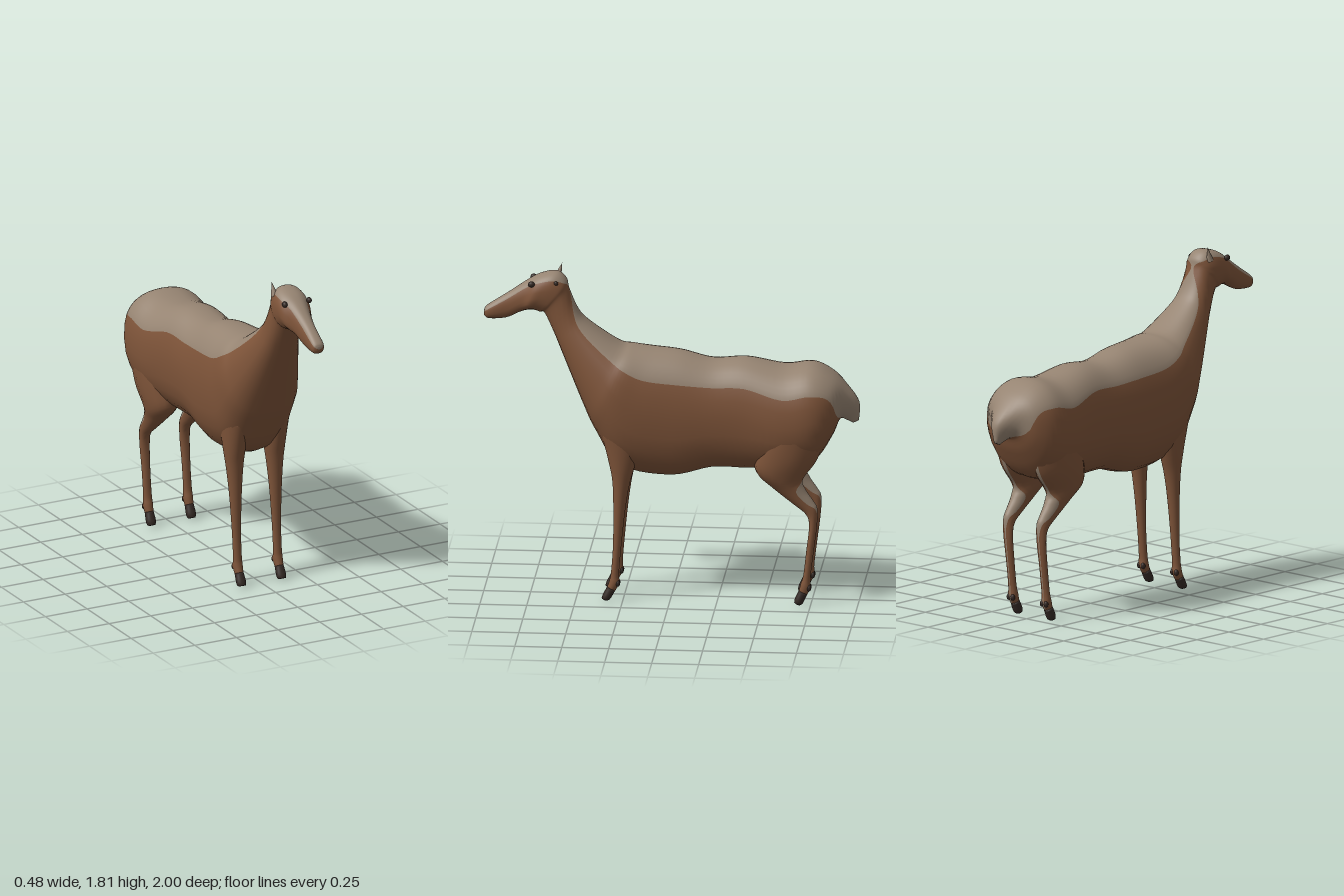
import * as THREE from 'three';

const mat = (name, color) => {
  const m = new THREE.MeshStandardMaterial({ color });
  m.name = name;
  return m;
};

// Smooth curve through points, with one control point per section
const curve = (pts) => new THREE.CatmullRomCurve3(pts, false, 'catmullrom', 0.5);

// Loft through sections [zTop, yTop, zBottom, yBottom, halfWidth, paintAngle].
// Rows between the top line and paintAngle take the first material, the rest the second.
function loft(name, sections, x0, materials, power = 1, steps = 5, half = 7) {
  const tops = curve(sections.map((s) => new THREE.Vector3(0, s[1], s[0])));
  const bottoms = curve(sections.map((s) => new THREE.Vector3(0, s[3], s[2])));
  const sizes = curve(sections.map((s) => new THREE.Vector3(s[4], s[5] ?? 1.5, 0)));
  const rings = (sections.length - 1) * steps;
  const n = half * 4;
  const pos = [];
  const groups = [[], []];
  const bend = (v) => Math.sign(v) * Math.abs(v) ** power;
  for (let i = 0; i <= rings; i++) {
    const u = i / rings;
    const t = tops.getPoint(u), b = bottoms.getPoint(u), s = sizes.getPoint(u);
    const c = t.clone().add(b).multiplyScalar(0.5);
    const arm = t.sub(c);
    const p = THREE.MathUtils.clamp(s.y, 0.06, Math.PI - 0.12);
    for (let j = 0; j < n; j++) {
      const k = j <= n / 2 ? j : n - j;
      let a = k <= half ? (p * k) / half : p + ((Math.PI - p) * (k - half)) / half;
      if (j > n / 2) a = -a;
      const q = bend(Math.cos(a));
      pos.push(x0 + Math.max(s.x, 0.003) * bend(Math.sin(a)), c.y + arm.y * q, c.z + arm.z * q);
    }
  }
  const groupOf = (j) => (j < half || j >= n - half ? 0 : 1);
  for (let i = 0; i < rings; i++) {
    for (let j = 0; j < n; j++) {
      const a = i * n + j, b = i * n + ((j + 1) % n);
      groups[groupOf(j)].push(a, a + n, b, b, a + n, b + n);
    }
  }
  // Close both ends with fans
  for (const i of [0, rings]) {
    const mid = pos.length / 3;
    const o = i * n * 3, h = o + (n / 2) * 3;
    pos.push(x0, (pos[o + 1] + pos[h + 1]) / 2, (pos[o + 2] + pos[h + 2]) / 2);
    for (let j = 0; j < n; j++) {
      const a = i * n + j, b = i * n + ((j + 1) % n);
      groups[groupOf(j)].push(...(i === 0 ? [mid, a, b] : [mid, b, a]));
    }
  }
  const geo = new THREE.BufferGeometry();
  geo.setAttribute('position', new THREE.Float32BufferAttribute(pos, 3));
  geo.setIndex([...groups[0], ...groups[1]]);
  geo.addGroup(0, groups[0].length, 0);
  geo.addGroup(groups[0].length, groups[1].length, 1);
  geo.computeVertexNormals();
  const mesh = new THREE.Mesh(geo, materials);
  mesh.name = name;
  return mesh;
}

function ball(name, material, x, y, z, sx, sy, sz) {
  const mesh = new THREE.Mesh(new THREE.SphereGeometry(1, 14, 10), material);
  mesh.name = name;
  mesh.position.set(x, y, z);
  mesh.scale.set(sx, sy, sz);
  return mesh;
}

export function createModel() {
  const model = new THREE.Group();
  model.name = 'hoofedAnimal';
  const coat = mat('brown coat', 0x7e5439);
  const back = mat('greyish tan back', 0x968472);
  const dark = mat('dark hoof', 0x352a25);

  // Tail, trunk, neck and head in one skin
  model.add(loft('body', [
    [-0.998, 1.0, -0.965, 0.985, 0.012, 3],
    [-1.0, 1.1, -0.935, 1.0, 0.04, 2.9],
    [-0.935, 1.19, -0.9, 1.01, 0.1, 2.4],
    [-0.86, 1.26, -0.86, 0.92, 0.185, 1.3],
    [-0.75, 1.31, -0.77, 0.79, 0.235, 1.1],
    [-0.6, 1.295, -0.61, 0.74, 0.233, 1.1],
    [-0.4, 1.33, -0.4, 0.73, 0.204, 1],
    [-0.22, 1.32, -0.22, 0.73, 0.2, 0.97],
    [-0.05, 1.36, 0, 0.68, 0.21, 1],
    [0.1, 1.375, 0.27, 0.73, 0.223, 1],
    [0.2, 1.385, 0.4, 0.92, 0.22, 1],
    [0.28, 1.4, 0.47, 1.07, 0.19, 0.95],
    [0.44, 1.51, 0.58, 1.34, 0.122, 1],
    [0.5, 1.58, 0.625, 1.45, 0.097, 0.75],
    [0.545, 1.69, 0.675, 1.555, 0.085, 0.06],
    [0.56, 1.745, 0.7, 1.562, 0.09, 0.6],
    [0.61, 1.783, 0.735, 1.572, 0.092, 0.9],
    [0.69, 1.77, 0.77, 1.57, 0.087, 0.95],
    [0.76, 1.735, 0.81, 1.555, 0.062, 0.95],
    [0.87, 1.66, 0.88, 1.522, 0.043, 1],
    [0.98, 1.587, 0.97, 1.515, 0.036, 1.1],
    [0.999, 1.56, 0.996, 1.53, 0.016, 1.2],
  ], 0, [back, coat], 0.86, 5, 8));

  for (const [side, s] of [['left', 1], ['right', -1]]) {
    const x = s * 0.12;

    // Front leg, from shoulder to pastern
    model.add(loft(side + 'FrontLeg', [
      [0.37, 0.95, 0.13, 0.95, 0.075],
      [0.325, 0.77, 0.185, 0.75, 0.058],
      [0.305, 0.66, 0.215, 0.64, 0.046],
      [0.3, 0.5, 0.237, 0.5, 0.034],
      [0.302, 0.3, 0.258, 0.3, 0.025],
      [0.312, 0.16, 0.27, 0.15, 0.024],
      [0.32, 0.115, 0.267, 0.1, 0.027],
      [0.333, 0.075, 0.29, 0.055, 0.023],
    ], x, [coat, coat]));
    model.add(loft(side + 'FrontHoof', [
      [0.332, 0.08, 0.288, 0.06, 0.024],
      [0.355, 0.035, 0.315, 0.012, 0.027],
      [0.362, 0.014, 0.33, 0.001, 0.02],
    ], x, [dark, dark]));

    // Hind leg with a pale stripe behind the hock
    model.add(loft(side + 'HindLeg', [
      [-0.5, 1.0, -0.84, 1.0, 0.112, 3.1],
      [-0.46, 0.84, -0.79, 0.82, 0.1, 3.1],
      [-0.46, 0.735, -0.71, 0.7, 0.078, 3],
      [-0.56, 0.64, -0.725, 0.64, 0.052, 2],
      [-0.66, 0.56, -0.765, 0.58, 0.037, 1.9],
      [-0.725, 0.505, -0.787, 0.535, 0.032, 2.5],
      [-0.742, 0.44, -0.784, 0.44, 0.029, 3.1],
      [-0.727, 0.3, -0.767, 0.3, 0.024, 3.1],
      [-0.712, 0.17, -0.75, 0.16, 0.024, 3.1],
      [-0.698, 0.12, -0.75, 0.1, 0.027, 3.1],
      [-0.688, 0.08, -0.732, 0.06, 0.023, 3.1],
    ], x, [coat, back]));
    model.add(loft(side + 'HindHoof', [
      [-0.689, 0.085, -0.734, 0.065, 0.024],
      [-0.668, 0.04, -0.71, 0.013, 0.027],
      [-0.663, 0.016, -0.694, 0.001, 0.019],
    ], x, [dark, dark]));

    // Dewclaws behind each fetlock
    for (const [leg, z] of [['Front', 0.276], ['Hind', -0.742]]) {
      for (const d of [-0.014, 0.014]) {
        model.add(ball(side + leg + 'Dewclaw', dark, x + d, 0.1, z, 0.012, 0.018, 0.013));
      }
    }

    // Eye
    model.add(ball(side + 'Eye', dark, s * 0.073, 1.727, 0.74, 0.014, 0.016, 0.018));
  }

  // Single pointed ear on the right, and the dark ear opening on the left
  const ear = new THREE.Mesh(new THREE.ConeGeometry(0.02, 0.08, 12), back);
  ear.name = 'rightEar';
  ear.position.set(-0.069, 1.77, 0.6);
  ear.rotation.set(-0.3, 0, 0.08);
  model.add(ear);
  model.add(ball('leftEarOpening', dark, 0.074, 1.735, 0.61, 0.008, 0.012, 0.012));

  return model;
}
